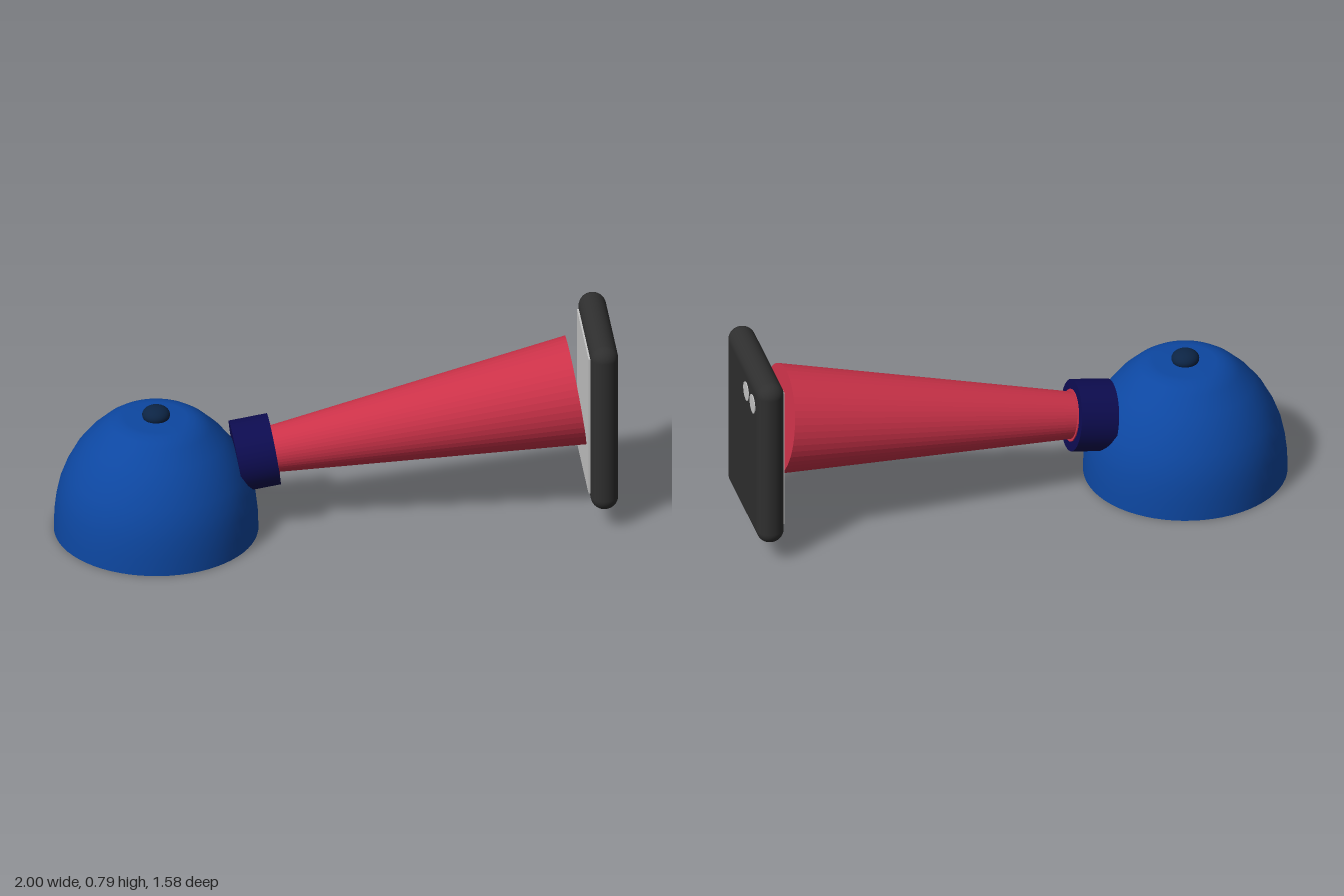
import * as THREE from 'three';
import { RoundedBoxGeometry } from 'three/addons/geometries/RoundedBoxGeometry.js';

function mat(name, color) {
  const m = new THREE.MeshStandardMaterial({ color });
  m.name = name;
  return m;
}

function add(parent, name, geometry, material, x = 0, y = 0, z = 0) {
  const mesh = new THREE.Mesh(geometry, material);
  mesh.name = name;
  mesh.position.set(x, y, z);
  parent.add(mesh);
  return mesh;
}

// Cylinder or cone lying along +z, from z = 0 to z = length
function barrel(rBack, rFront, length, sides) {
  return new THREE.CylinderGeometry(rFront, rBack, length, sides)
    .rotateX(Math.PI / 2).translate(0, 0, length / 2);
}

export function createModel() {
  const model = new THREE.Group();
  const blue = mat('blue', 0x0d47a1);
  blue.side = THREE.DoubleSide;
  const darkBlue = mat('dark blue', 0x0c2444);
  const navy = mat('navy', 0x0d0c50);
  const red = mat('red', 0xcc3249);
  const black = mat('charcoal', 0x2f2f2f);
  const silver = mat('silver', 0xc6c6c6);
  const deg = Math.PI / 180;

  // Hollow dome base, open underneath
  const profile = [[0.395, 0], [0.393, 0.07], [0.385, 0.14], [0.372, 0.2], [0.35, 0.26],
    [0.313, 0.33], [0.267, 0.39], [0.21, 0.445], [0.18, 0.466], [0.15, 0.478], [0.12, 0.482], [0, 0.483]]
    .map(([r, y]) => new THREE.Vector2(r, y));
  add(model, 'domeBase', new THREE.LatheGeometry(profile, 64), blue, -0.605, 0, -0.395);

  // Flattened knob on the dome
  const knob = new THREE.SphereGeometry(0.054, 32, 16).scale(1, 0.65, 1);
  add(model, 'knob', knob, darkBlue, -0.605, 0.495, -0.395);

  // Arm rising outwards from the dome: collar, seat disc and flared cone
  const arm = new THREE.Group();
  arm.name = 'arm';
  arm.position.set(-0.605, 0.243, -0.395);
  arm.rotation.set(-8.6 * deg, 56 * deg, 0, 'YXZ');
  model.add(arm);
  add(arm, 'collar', barrel(0.14, 0.14, 0.15, 48), navy, 0, 0, 0.313);
  add(arm, 'seatDisc', barrel(0.102, 0.102, 0.008, 48), red, 0, 0, 0.459);
  const cone = barrel(0.09, 0.214, 1.2, 48).toNonIndexed();
  cone.computeVertexNormals();
  add(arm, 'flaredCone', cone, red, 0, 0, 0.45);

  // Upright handset at the end of the arm
  const handset = new THREE.Group();
  handset.name = 'handset';
  handset.position.set(0.823, 0.435, 0.565);
  handset.rotation.y = 55 * deg;
  model.add(handset);
  add(handset, 'handsetBody', new RoundedBoxGeometry(0.53, 0.71, 0.107, 6, 0.053), black);
  add(handset, 'mountPlate', new THREE.BoxGeometry(0.41, 0.59, 0.009), silver, 0, 0, -0.056);
  for (const x of [0.06, 0.157]) {
    add(handset, 'lens', barrel(0.038, 0.038, 0.006, 32), silver, x, 0.237, 0.051);
  }

  return model;
}
